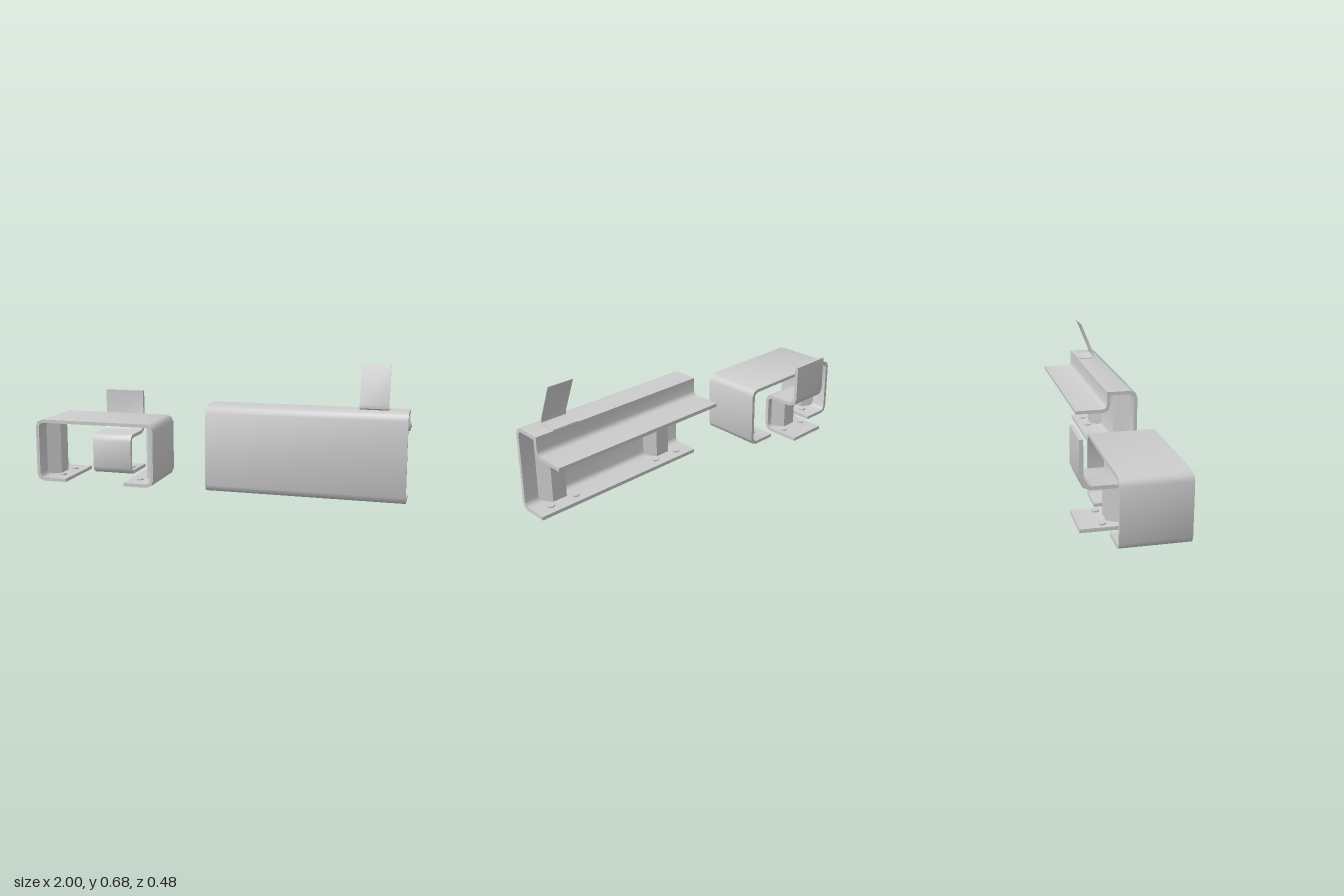
import * as THREE from 'three';
import { toCreasedNormals } from 'three/addons/utils/BufferGeometryUtils.js';

const material = new THREE.MeshStandardMaterial({ color: 0xcccccc });

function addMesh(parent, name, geometry) {
  const mesh = new THREE.Mesh(geometry, material);
  mesh.name = name;
  parent.add(mesh);
  return mesh;
}

// Bent sheet outline: centre line of [u, v, bend length], thickened on both sides
function sheetShape(path, thickness) {
  const pts = path.map(([u, v]) => new THREE.Vector2(u, v));
  const line = [];
  pts.forEach((p, i) => {
    const d = path[i][2];
    if (!d) { line.push(p); return; }
    const a = p.clone().add(pts[i - 1].clone().sub(p).setLength(d));
    const b = p.clone().add(pts[i + 1].clone().sub(p).setLength(d));
    const mid = p.clone().multiplyScalar(0.414).addScaledVector(a, 0.293).addScaledVector(b, 0.293);
    line.push(a, mid, b);
  });
  const normal = (a, b) => new THREE.Vector2(a.y - b.y, b.x - a.x).normalize();
  const left = [], right = [];
  line.forEach((p, i) => {
    const n1 = normal(line[Math.max(i - 1, 0)], line[Math.max(i, 1)]);
    const last = line.length - 1;
    const n2 = normal(line[Math.min(i, last - 1)], line[Math.min(i + 1, last)]);
    const mitre = n1.clone().add(n2).multiplyScalar(thickness / 2 / (1 + n1.dot(n2)));
    left.push(p.clone().add(mitre));
    right.unshift(p.clone().sub(mitre));
  });
  return new THREE.Shape([...left, ...right]);
}

function sheet(path, thickness, depth) {
  const geometry = new THREE.ExtrudeGeometry(sheetShape(path, thickness), { depth, bevelEnabled: false });
  return toCreasedNormals(geometry, THREE.MathUtils.degToRad(50));
}

// Sheet with its profile in (z, y), running along x from x0 to x1
function sheetAlongX(path, thickness, x0, x1) {
  return sheet(path, thickness, x1 - x0).rotateY(-Math.PI / 2).translate(x1, 0, 0);
}

// Trapezoid stiffener on a wall, with a hex bolt on each side; it projects towards -z
function addStiffener(parent, x, z, turn, floor, height) {
  const group = new THREE.Group();
  group.name = 'stiffener';
  group.position.set(x, floor, z);
  group.rotation.y = turn;
  parent.add(group);
  const profile = new THREE.Shape([[-0.085, 0], [0.085, 0], [0.042, 0.065], [-0.042, 0.065]]
    .map(([u, v]) => new THREE.Vector2(u, v)));
  addMesh(group, 'stiffenerPost',
    new THREE.ExtrudeGeometry(profile, { depth: height, bevelEnabled: false }).rotateX(-Math.PI / 2));
  for (const side of [-1, 1]) {
    const bolt = addMesh(group, 'bolt',
      toCreasedNormals(new THREE.CylinderGeometry(0.02, 0.02, 0.008, 6), 0.5));
    bolt.position.set(side * 0.076, 0.004, -0.092);
  }
}

export function createModel() {
  const model = new THREE.Group();
  const bend = 0.031;

  // Long rail with a stepped top flange
  const rail = new THREE.Group();
  rail.name = 'longRail';
  model.add(rail);
  addMesh(rail, 'railSheet', sheetAlongX([
    [0.07, 0.01], [0.228, 0.01, bend], [0.228, 0.448, bend],
    [0.077, 0.448], [0.077, 0.352, bend], [-0.105, 0.352],
  ], 0.019, -0.03, 1));
  for (const x of [0.135, 0.835]) addStiffener(rail, x, 0.218, 0, 0.02, 0.419);

  // Thin tilted tab on the rail
  addMesh(rail, 'tab', sheetAlongX([
    [0.068, 0.46], [0.176, 0.46, 0.028], [0.086, 0.68],
  ], 0.004, 0.755, 0.9));

  // Bridge-shaped bracket, open downwards
  const bridge = new THREE.Group();
  bridge.name = 'bridgeBracket';
  model.add(bridge);
  addMesh(bridge, 'bridgeSheet', sheet([
    [-0.83, 0.009], [-0.991, 0.009, bend], [-0.991, 0.334, bend],
    [-0.329, 0.334, bend], [-0.329, 0.009, bend], [-0.49, 0.009],
  ], 0.018, 0.343).translate(0, 0, -0.105));
  addStiffener(bridge, -0.982, 0.065, -Math.PI / 2, 0.018, 0.307);
  addStiffener(bridge, -0.338, 0.065, Math.PI / 2, 0.018, 0.307);

  // Small bracket with an upturned hook
  const hook = new THREE.Group();
  hook.name = 'hookBracket';
  model.add(hook);
  addMesh(hook, 'hookSheet', sheetAlongX([
    [-0.237, 0.01], [-0.02, 0.01, bend], [-0.02, 0.22, bend],
    [-0.228, 0.22, 0.045], [-0.228, 0.458],
  ], 0.019, -0.775, -0.545));
  addStiffener(hook, -0.66, -0.03, 0, 0.02, 0.19);

  return model;
}
